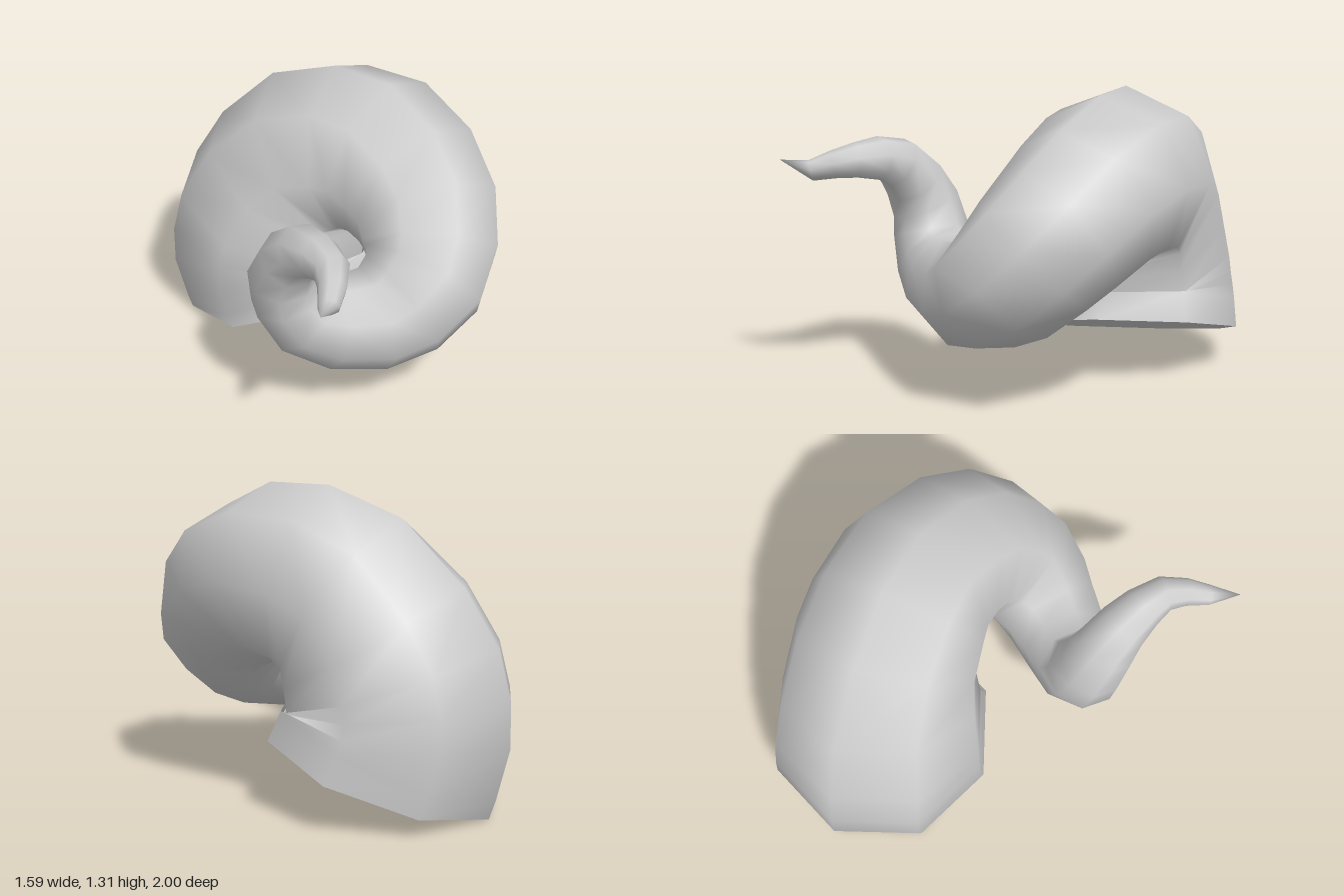
import * as THREE from 'three';

// Centreline stations from base to tip: x, y, z, radius
const STATIONS = [
  [-0.26, 0.158, -0.52, 0.51], [-0.325, 0.345, -0.515, 0.5], [-0.31, 0.535, -0.51, 0.482],
  [-0.11, 0.855, -0.49, 0.418], [0.21, 0.93, -0.39, 0.383],
  [0.45, 0.78, -0.18, 0.338], [0.475, 0.58, 0.03, 0.298],
  [0.295, 0.46, 0.205, 0.235], [0.01, 0.55, 0.35, 0.186],
  [-0.06, 0.78, 0.405, 0.152], [0.05, 0.985, 0.515, 0.114],
  [0.205, 1.025, 0.68, 0.076], [0.235, 0.985, 0.87, 0.045],
];
const TIP = [0.23, 1.03, 1.0];
const BASE_NORMAL = new THREE.Vector3(-0.32, 0.947, -0.025).normalize();
const BASE_OUT = new THREE.Vector3(-0.94, -0.32, 0.07);
const SIDES = 8;
const RINGS = 2 * (STATIONS.length - 1);

// Eight-sided cross-sections, carried along the centreline without twisting
function makeRings() {
  const curve = new THREE.CatmullRomCurve3(STATIONS.map(([x, y, z]) => new THREE.Vector3(x, y, z)));
  const out = BASE_OUT.clone();
  const rings = [];
  for (let i = 0; i <= RINGS; i++) {
    const k = Math.min(i >> 1, STATIONS.length - 2);
    const r = THREE.MathUtils.lerp(STATIONS[k][3], STATIONS[k + 1][3], i / 2 - k);
    const c = curve.getPoint(i / RINGS);
    const t = i === 0 ? BASE_NORMAL : curve.getTangent(i / RINGS);
    out.addScaledVector(t, -out.dot(t)).normalize();
    const side = new THREE.Vector3().crossVectors(t, out);
    const ring = [];
    for (let j = 0; j < SIDES; j++) {
      const a = ((j + 0.5) / SIDES) * Math.PI * 2;
      ring.push(c.clone()
        .addScaledVector(out, Math.cos(a) * r)
        .addScaledVector(side, Math.sin(a) * r));
    }
    rings.push(ring);
  }
  return rings;
}

function buildGeometry(points, index) {
  const g = new THREE.BufferGeometry();
  g.setAttribute('position', new THREE.Float32BufferAttribute(points, 3));
  g.setIndex(index);
  g.computeVertexNormals();
  return g;
}

export function createModel() {
  const grey = new THREE.MeshStandardMaterial({ color: 0xcccccc });
  grey.name = 'grey';
  const rings = makeRings();

  // Smooth coiled skin ending in a point
  const points = rings.flat().flatMap((p) => p.toArray());
  points.push(...TIP);
  const tip = rings.length * SIDES;
  const index = [];
  for (let i = 0; i < rings.length; i++) {
    for (let j = 0; j < SIDES; j++) {
      const a = i * SIDES + j;
      const b = i * SIDES + ((j + 1) % SIDES);
      if (i === rings.length - 1) index.push(a, b, tip);
      else index.push(a, b, b + SIDES, a, b + SIDES, a + SIDES);
    }
  }
  const horn = new THREE.Mesh(buildGeometry(points, index), grey);
  horn.name = 'horn';

  // Flat octagonal base
  const capIndex = [];
  for (let j = 1; j < SIDES - 1; j++) capIndex.push(0, j + 1, j);
  const cap = new THREE.Mesh(buildGeometry(rings[0].flatMap((p) => p.toArray()), capIndex), grey);
  cap.name = 'baseCap';

  const group = new THREE.Group();
  group.name = 'coiledHorn';
  group.add(horn, cap);
  return group;
}
